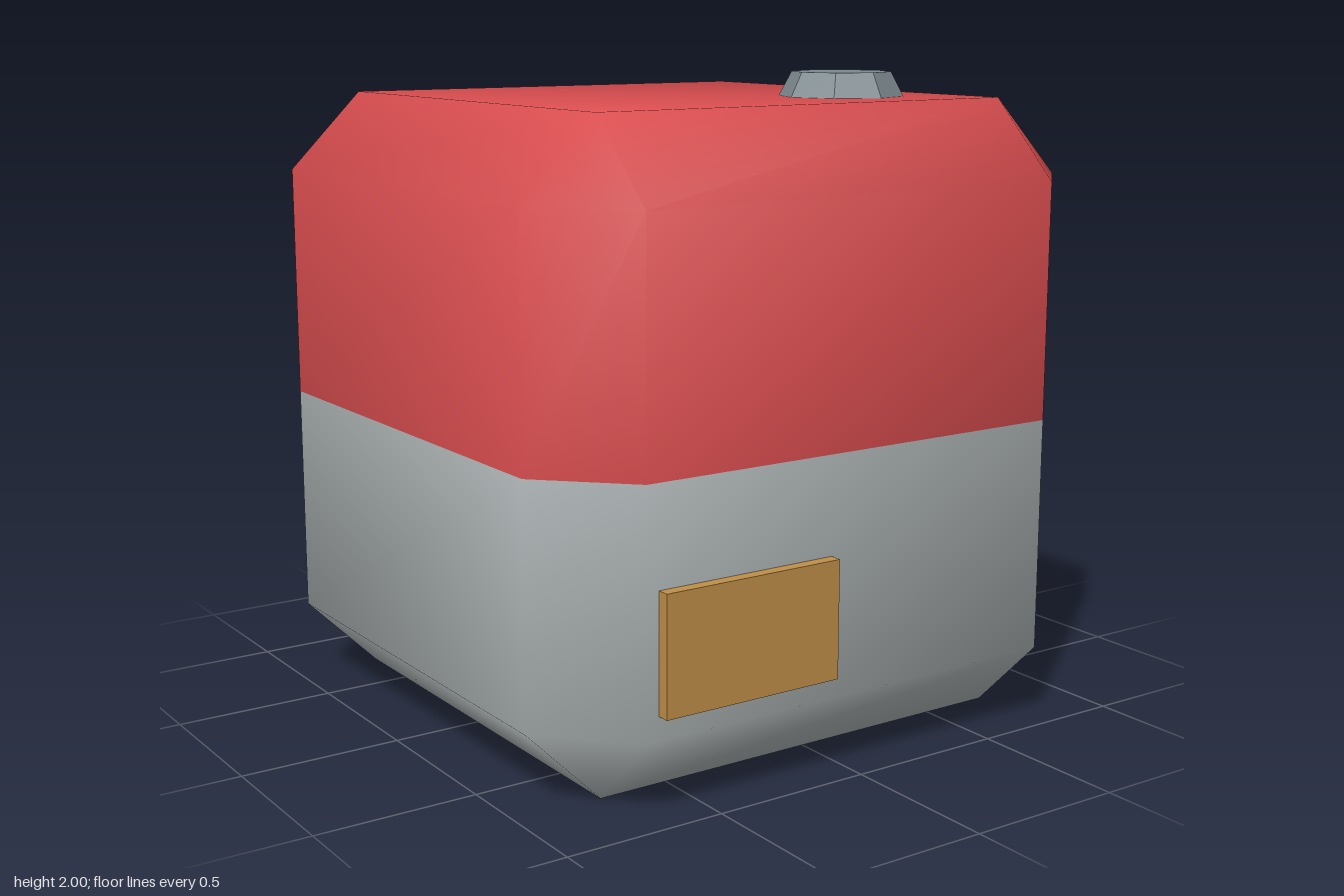
import * as THREE from 'three';

const HALF = 0.9625;   // half width of the body
const FLAT = 0.7225;   // half width of each flat face, inside the bevels
const BLEND = 0.37;    // how far corner normals lean into the bevels

const red = new THREE.MeshStandardMaterial({ color: 0xd94d4f });
red.name = 'red shell';
const grey = new THREE.MeshStandardMaterial({ color: 0xb8bfc0 });
grey.name = 'light grey shell';
const ochre = new THREE.MeshStandardMaterial({ color: 0xc08f48 });
ochre.name = 'ochre plate';
const slate = new THREE.MeshStandardMaterial({ color: 0x7d898f });
slate.name = 'slate knob';

function addMesh(group, name, geometry, material) {
  const mesh = new THREE.Mesh(geometry, material);
  mesh.name = name;
  group.add(mesh);
  return mesh;
}

// Half of a bevelled cube from three eight-point rings; the end ring is a closed square.
function halfShell(isTop) {
  const rings = [
    { y: 0, side: 0, end: false },
    { y: FLAT, side: 1, end: false },
    { y: HALF, side: 1, end: true },
  ].map((r) => (isTop ? r : { y: -r.y, side: -r.side, end: r.end }));
  if (!isTop) rings.reverse();

  const corners = [[1, 1], [-1, 1], [-1, -1], [1, -1]];
  const pos = [], nor = [], index = [];
  for (const { y, side, end } of rings) {
    for (let k = 0; k < 8; k++) {
      const [sx, sz] = corners[k >> 1];
      const facesX = k % 4 === 0 || k % 4 === 3;
      const wide = (on) => (on && !end ? HALF : FLAT);
      const lean = (on) => (on && !end ? 1 : BLEND);
      pos.push(sx * wide(facesX), y + HALF, sz * wide(!facesX));
      const n = new THREE.Vector3(sx * lean(facesX), side * (end ? 1 : BLEND), sz * lean(!facesX));
      nor.push(...n.normalize().toArray());
    }
  }
  for (let r = 0; r < 2; r++) {
    for (let k = 0; k < 8; k++) {
      const a = r * 8 + k, c = r * 8 + (k + 1) % 8;
      // skip triangles that collapse on the square end ring
      const pair = k % 2 === 0;
      if (!(pair && rings[r].end)) index.push(a, a + 8, c);
      if (!(pair && rings[r + 1].end)) index.push(a + 8, c + 8, c);
    }
  }
  if (isTop) index.push(16, 20, 18, 16, 22, 20);
  else index.push(0, 2, 4, 0, 4, 6);

  const g = new THREE.BufferGeometry();
  g.setAttribute('position', new THREE.Float32BufferAttribute(pos, 3));
  g.setAttribute('normal', new THREE.Float32BufferAttribute(nor, 3));
  g.setIndex(index);
  return g;
}

export function createModel() {
  const model = new THREE.Group();
  model.name = 'bevelled two-tone cube';

  addMesh(model, 'upperShell', halfShell(true), red);
  addMesh(model, 'lowerShell', halfShell(false), grey);

  // Matching plates on front and back, turned half round the vertical axis
  for (const [name, s] of [['frontPlate', 1], ['backPlate', -1]]) {
    const plate = addMesh(model, name, new THREE.BoxGeometry(0.59, 0.355, 0.07), ochre);
    plate.position.set(-0.388 * s, 0.488, 0.965 * s);
  }

  // Eight-sided tapered knob, faceted
  const knobGeometry = new THREE.CylinderGeometry(0.153, 0.193, 0.075, 8).toNonIndexed();
  knobGeometry.computeVertexNormals();
  const knob = addMesh(model, 'topKnob', knobGeometry, slate);
  knob.position.set(0.383, 1.9625, 0.383);

  return model;
}
